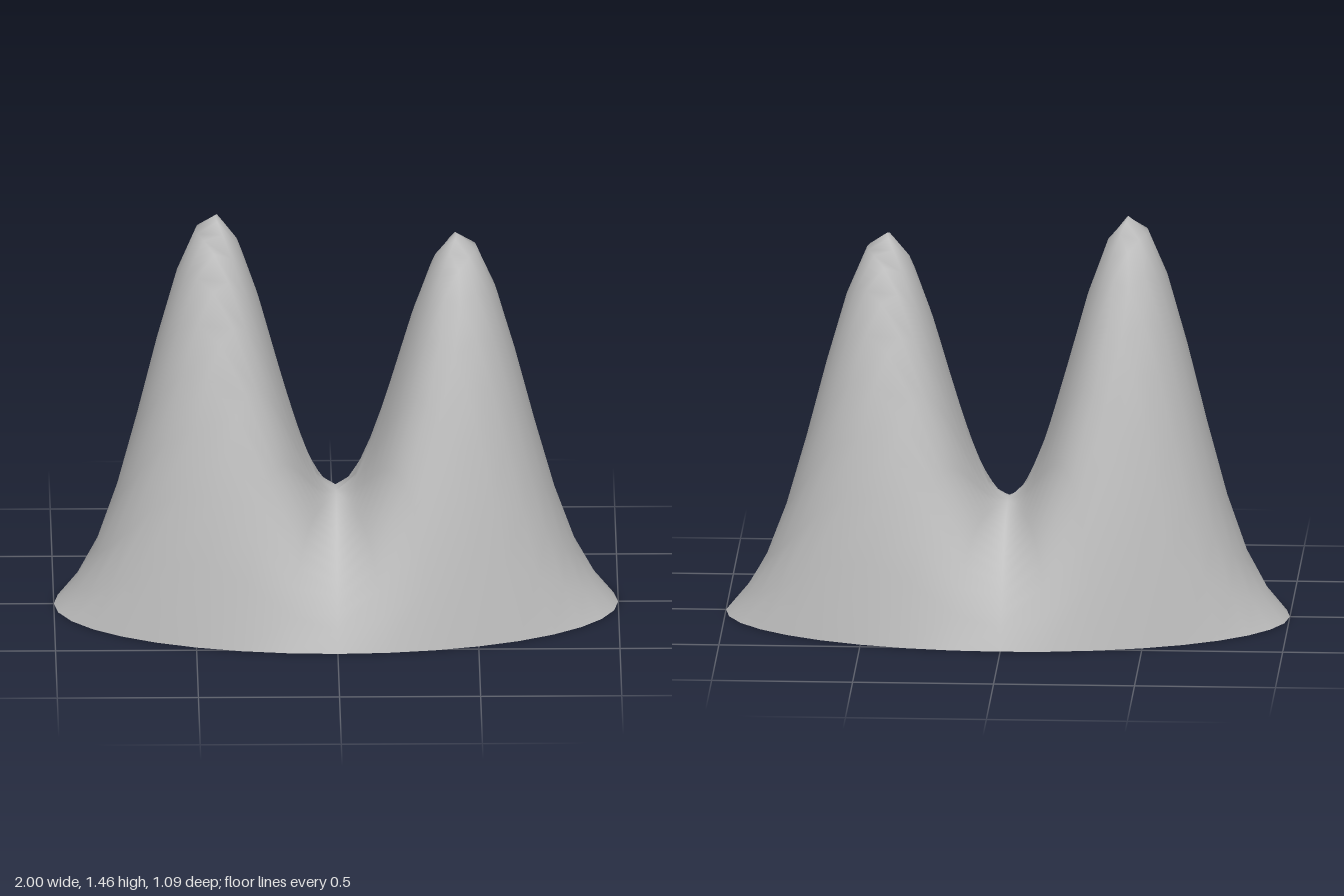
import * as THREE from 'three';
import { mergeVertices } from 'three/addons/utils/BufferGeometryUtils.js';

const DEPTH = 0.545;      // half depth of the oval base (half width is 1)
const SADDLE = 0.42;      // height between the peaks
const LEFT_RISE = 1.31;   // extra height of the +x peak
const RIGHT_RISE = 1.4;   // extra height of the -x peak

// Height over the unit disc: a dome that reaches zero at the rim, times two waves along x
function height(x, v) {
  const dome = Math.pow(Math.max(0, 1 - x * x - v * v), 0.9);
  const rise = x > 0 ? LEFT_RISE : RIGHT_RISE;
  return dome * (SADDLE + rise * Math.sin(Math.PI * x) ** 2);
}

export function createModel() {
  const group = new THREE.Group();
  group.name = 'twinPeaks';

  const grey = new THREE.MeshStandardMaterial({ color: 0xbfbfbf, side: THREE.DoubleSide });
  grey.name = 'grey';

  // Polar disc, laid flat and raised into an open shell with two peaks
  let geometry = new THREE.RingGeometry(0, 1, 36, 14).rotateX(-Math.PI / 2);
  const p = geometry.attributes.position;
  for (let i = 0; i < p.count; i++) {
    const x = p.getX(i), v = p.getZ(i);
    p.setXYZ(i, x, height(x, v), v * DEPTH);
  }

  // Weld the seam and the centre so the shading is smooth all round
  geometry.deleteAttribute('uv');
  geometry.deleteAttribute('normal');
  geometry = mergeVertices(geometry, 1e-4);
  geometry.computeVertexNormals();

  const shell = new THREE.Mesh(geometry, grey);
  shell.name = 'peakShell';
  group.add(shell);
  return group;
}
